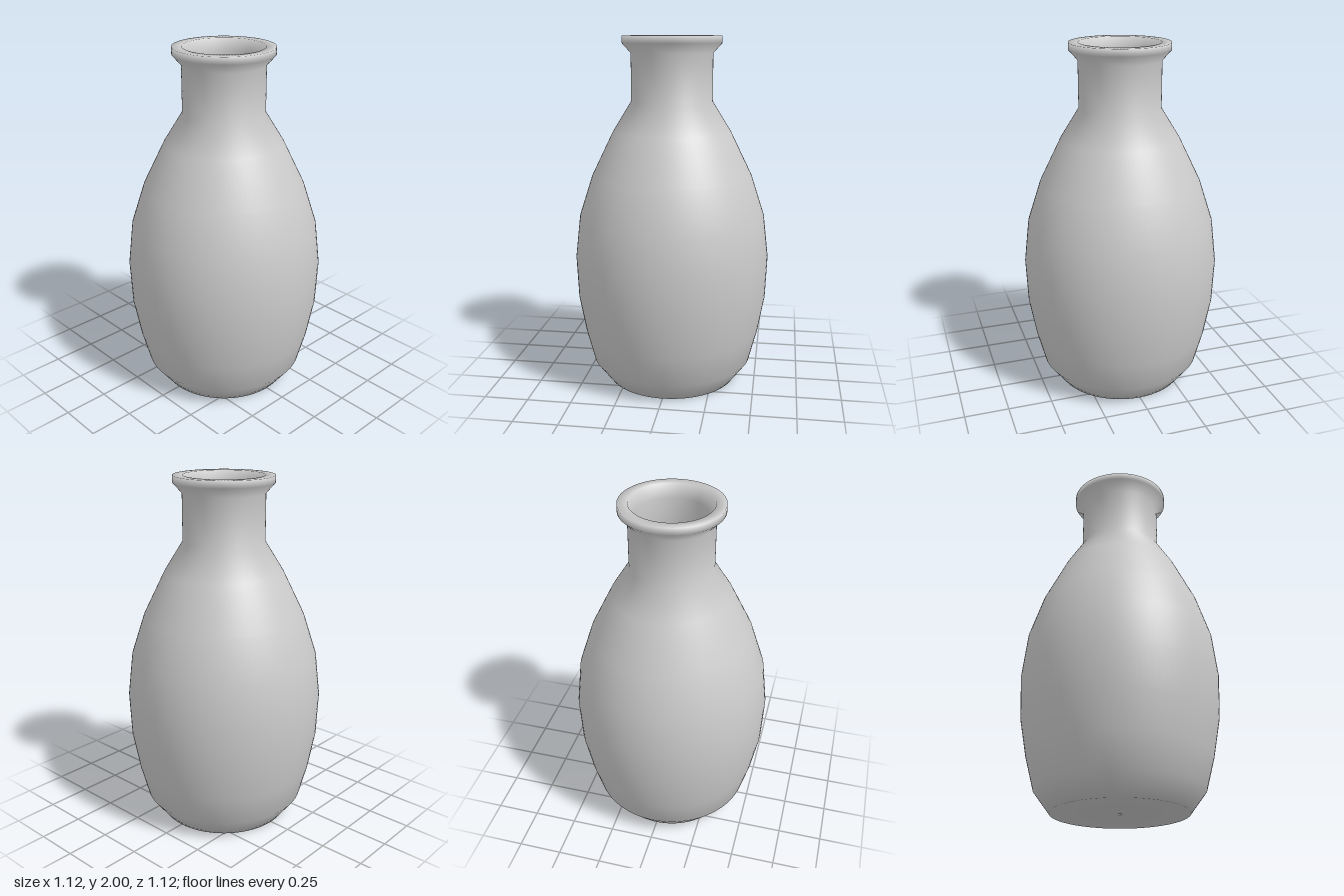
import * as THREE from 'three';

export function createModel() {
  const group = new THREE.Group();
  group.name = 'bottleVase';

  const grey = new THREE.MeshStandardMaterial({ color: 0xcccccc });
  grey.name = 'plain grey';

  // Closed wall profile [radius, height]: base, outer wall, lip, inner wall, floor
  const profile = [
    // underside, with a pinhole at the centre
    [0.011, 0], [0.375, 0],
    // outer body
    [0.465, 0.12], [0.512, 0.3], [0.55, 0.51], [0.56, 0.75],
    [0.532, 0.99], [0.457, 1.22], [0.335, 1.47],
    // neck and lip
    [0.23, 1.64], [0.23, 1.905], [0.28, 1.96], [0.28, 2], [0.225, 2],
    // inside of the neck
    [0.195, 1.93], [0.195, 1.63],
    // inner body and floor
    [0.305, 1.45], [0.425, 1.21], [0.502, 0.98], [0.535, 0.75],
    [0.522, 0.52], [0.48, 0.31], [0.435, 0.14], [0.36, 0.035], [0.011, 0.035],
    // back to the underside
    [0.011, 0],
  ].map(([r, y]) => new THREE.Vector2(r, y));

  const vase = new THREE.Mesh(new THREE.LatheGeometry(profile, 96), grey);
  vase.name = 'vaseBody';
  group.add(vase);

  return group;
}
